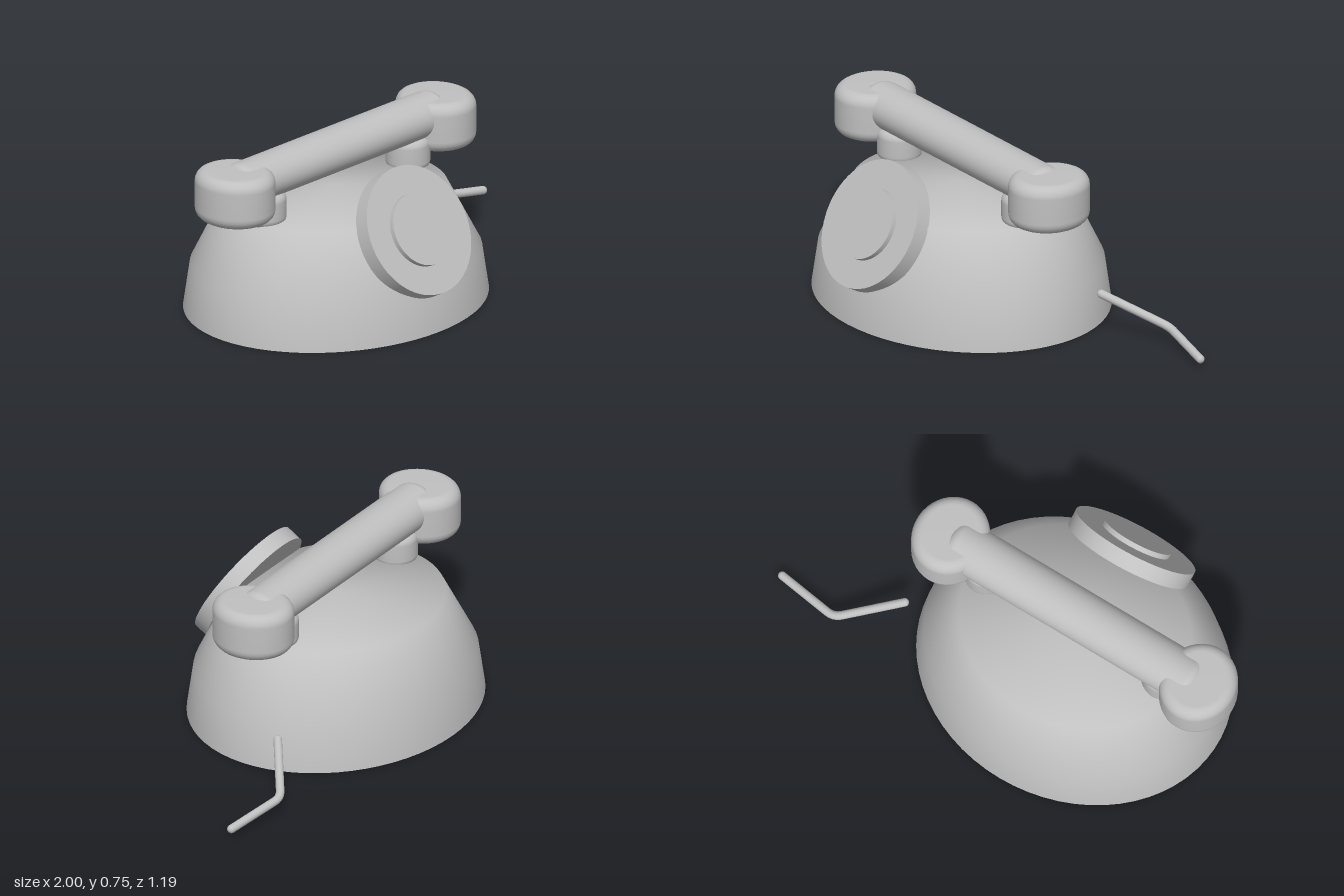
import * as THREE from 'three';
import { toCreasedNormals } from 'three/addons/utils/BufferGeometryUtils.js';

export function createModel() {
  const model = new THREE.Group();
  const grey = new THREE.MeshStandardMaterial({ color: 0xc0c0c0 });
  const CX = -0.24, CZ = -0.012; // centre of the telephone itself

  function add(name, geometry, x, y, z) {
    const mesh = new THREE.Mesh(geometry, grey);
    mesh.name = name;
    mesh.position.set(x, y, z);
    model.add(mesh);
    return mesh;
  }

  // Cylinder along y, centred on the origin, with rounded rims
  function roundedCylinder(radius, height, bevel, segments = 40) {
    const h = height / 2, steps = 5, points = [new THREE.Vector2(0, -h)];
    for (const end of [-1, 1]) {
      for (let i = 0; i <= steps; i++) {
        const a = (end < 0 ? i - steps : i) / steps * Math.PI / 2;
        points.push(new THREE.Vector2(
          radius - bevel + bevel * Math.cos(a),
          end * (h - bevel) + bevel * Math.sin(a)));
      }
    }
    points.push(new THREE.Vector2(0, h));
    return new THREE.LatheGeometry(points, segments);
  }

  // Oval body with sloping shoulders and a shallow conical top
  const profile = [[0, 0], [0.68, 0], [0.65, 0.19], [0.5, 0.467], [0, 0.498]]
    .map(([r, y]) => new THREE.Vector2(r, y));
  const body = new THREE.LatheGeometry(profile, 64).scale(1, 1, 0.856);
  add('body', toCreasedNormals(body, THREE.MathUtils.degToRad(61.04)), CX, 0, CZ);

  // Tilted dial with a raised centre
  const tilt = Math.PI / 3;
  const normal = new THREE.Vector3(0, Math.cos(tilt), Math.sin(tilt));
  function disc(name, radius, thickness, front) {
    const c = new THREE.Vector3(CX, 0.42, 0.457).addScaledVector(normal, front - thickness / 2);
    add(name, new THREE.CylinderGeometry(radius, radius, thickness, 64), c.x, c.y, c.z).rotation.x = tilt;
  }
  disc('dialPlate', 0.277, 0.07, 0);
  disc('dialCentre', 0.155, 0.05, 0.022);

  // Cradle pads and the handset's two end pieces
  for (const [side, s] of [['left', 1], ['right', -1]]) {
    add(side + 'CradlePad', roundedCylinder(0.093, 0.14, 0.035), CX + s * 0.432, 0.522, CZ);
    add(side + 'HandsetEnd', roundedCylinder(0.174, 0.212, 0.05).scale(0.91, 1, 1),
      CX + s * 0.603, 0.624, CZ - 0.003);
  }

  // Oval handset grip
  const grip = roundedCylinder(0.107, 1.2, 0.045).rotateZ(Math.PI / 2).scale(1, 0.85, 1);
  add('handsetGrip', grip, CX, 0.655, CZ - 0.003);

  // Bent cord with rounded tips
  const start = new THREE.Vector3(0.465, 0.182, -0.207);
  const bend = new THREE.Vector3(0.7, 0.07, -0.383);
  const end = new THREE.Vector3(0.982, 0.035, -0.332);
  const before = bend.clone().lerp(start, 0.12), after = bend.clone().lerp(end, 0.12);
  const path = new THREE.CurvePath();
  path.add(new THREE.LineCurve3(start, before));
  path.add(new THREE.QuadraticBezierCurve3(before, bend, after));
  path.add(new THREE.LineCurve3(after, end));
  add('cord', new THREE.TubeGeometry(path, 40, 0.018, 14), 0, 0, 0);
  for (const p of [start, end]) {
    add('cordTip', new THREE.SphereGeometry(0.018, 14, 10), p.x, p.y, p.z);
  }

  return model;
}
